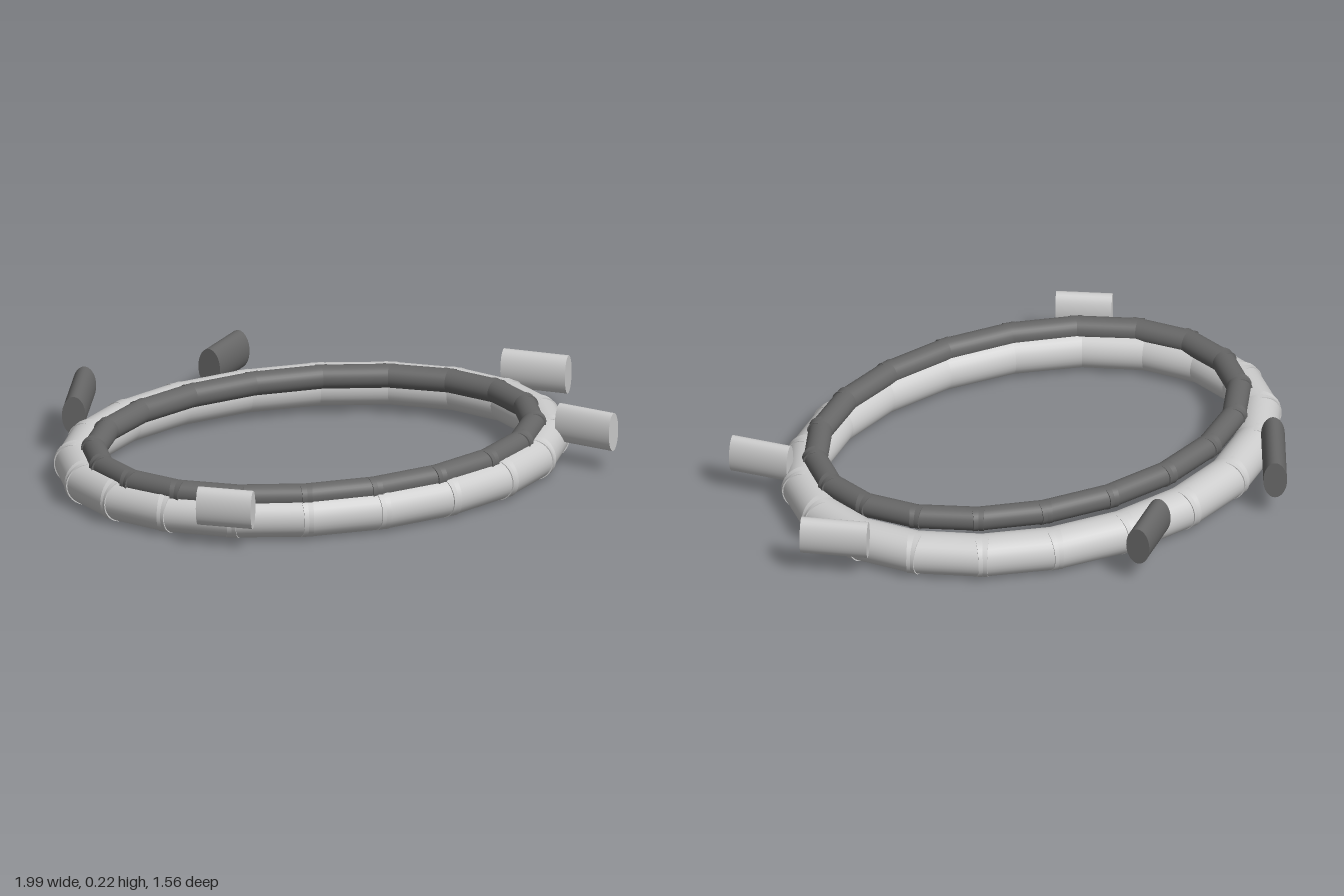
import * as THREE from 'three';

const light = new THREE.MeshStandardMaterial({ color: 0xcccccc });
const dark = new THREE.MeshStandardMaterial({ color: 0x666666 });
const Z_AXIS = new THREE.Vector3(0, 0, 1);

// Cylinder lying along z, turned to point from a to b
function rod(name, a, b, width, height, material) {
  const dir = b.clone().sub(a);
  const geometry = new THREE.CylinderGeometry(0.5, 0.5, dir.length(), 32);
  geometry.rotateX(Math.PI / 2).scale(width, height, 1);
  const mesh = new THREE.Mesh(geometry, material);
  mesh.name = name;
  mesh.position.copy(a).add(b).multiplyScalar(0.5);
  mesh.quaternion.setFromUnitVectors(Z_AXIS, dir.normalize());
  return mesh;
}

// Oval ring of straight, slightly overlapping rods
function ovalRing(name, { x, y, z, rx, rz, radius, overlap, material }) {
  const ring = new THREE.Group();
  ring.name = name;
  const count = 20;
  const corner = (i) => {
    const t = (i / count) * Math.PI * 2;
    return new THREE.Vector3(x + rx * Math.cos(t), y, z + rz * Math.sin(t));
  };
  for (let i = 0; i < count; i++) {
    const a = corner(i), b = corner(i + 1);
    const extra = b.clone().sub(a).setLength(overlap / 2);
    ring.add(rod(name + 'Segment', a.sub(extra), b.add(extra), radius * 2, radius * 2, material));
  }
  return ring;
}

export function createModel() {
  const model = new THREE.Group();
  model.name = 'ovalRings';

  // Thick lower ring and thin upper ring
  model.add(ovalRing('lowerRing', {
    x: -0.066, y: 0.076, z: 0.08, rx: 0.85, rz: 0.62, radius: 0.075, overlap: 0.05, material: light,
  }));
  model.add(ovalRing('upperRing', {
    x: -0.084, y: 0.15, z: 0.14, rx: 0.795, rz: 0.557, radius: 0.042, overlap: 0.045, material: dark,
  }));

  // Loose oval pegs around the rim: centre x, z, half-length vector x, z, width
  const pegs = [
    ['leftBackPeg', 0.875, -0.16, 0.091, 0.075, 0.08, light],
    ['leftFrontPeg', 0.83, 0.417, 0.068, 0.082, 0.07, light],
    ['rightFrontPeg', -0.634, 0.676, 0.08, 0.057, 0.073, light],
    ['backPeg', -0.085, -0.685, 0.083, -0.067, 0.086, dark],
    ['rightBackPeg', -0.709, -0.492, 0.074, -0.132, 0.083, dark],
  ];
  for (const [name, x, z, dx, dz, width, material] of pegs) {
    const a = new THREE.Vector3(x - dx, 0.15, z - dz);
    const b = new THREE.Vector3(x + dx, 0.15, z + dz);
    model.add(rod(name, a, b, width, 0.14, material));
  }
  return model;
}
